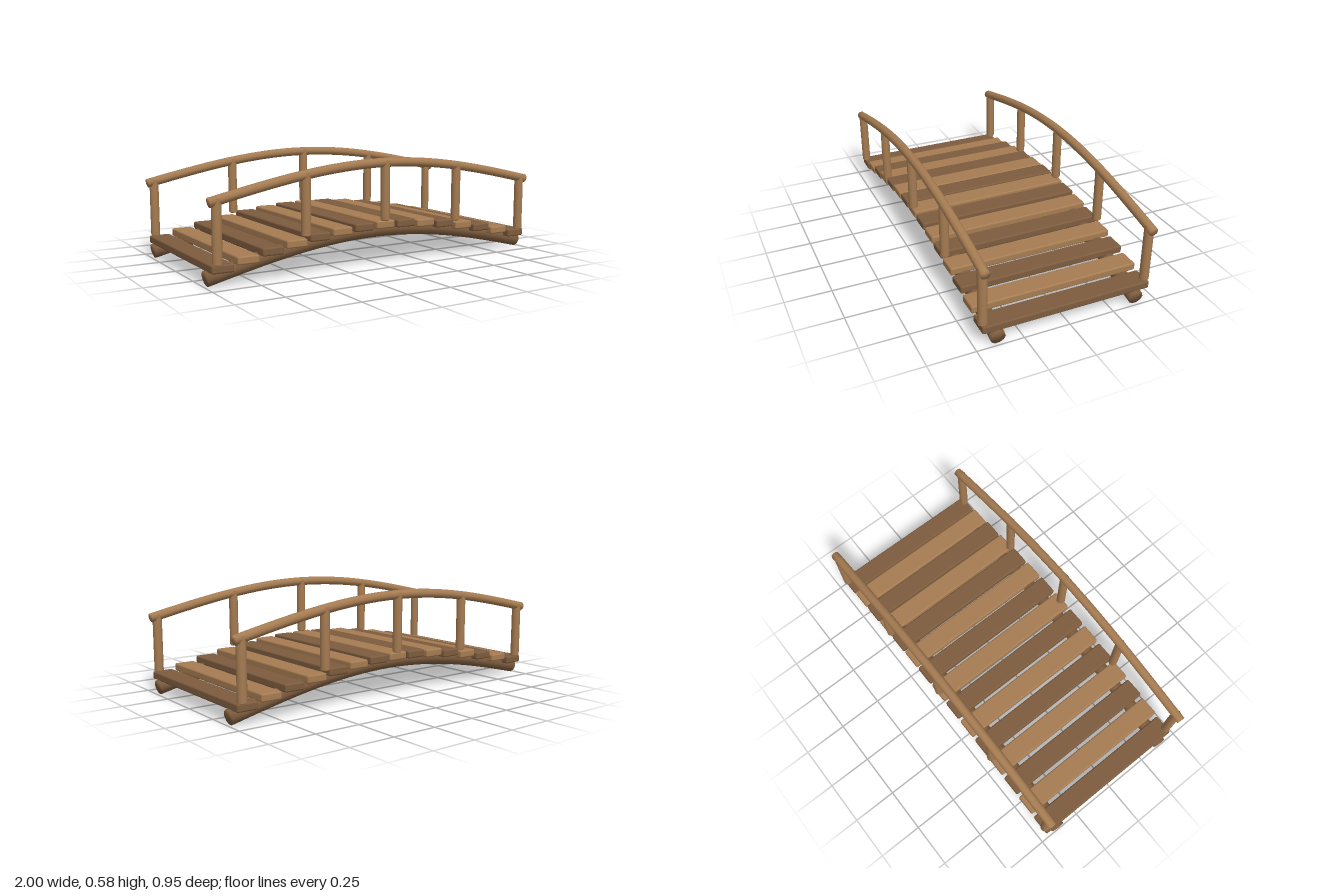
import * as THREE from 'three';
import { mergeVertices } from 'three/addons/utils/BufferGeometryUtils.js';
import { RoundedBoxGeometry } from 'three/addons/geometries/RoundedBoxGeometry.js';

const HALF = 0.99;
// height of a cosine arch at x
const arch = (x, base, rise, half = HALF) => base + rise * Math.cos((x / half) * Math.PI / 2);
const railY = (x) => arch(x, 0.412, 0.141);
const beamY = (x) => arch(x, 0.038, 0.151);

// round log bent along an arch, with closed ends
function archedLog(heightAt, radius, sides) {
  const points = [];
  for (let i = 0; i <= 16; i++) {
    const x = -HALF + (2 * HALF * i) / 16;
    points.push(new THREE.Vector3(x, heightAt(x), 0));
  }
  const curve = new THREE.CatmullRomCurve3(points);
  const segments = 32;
  const tube = new THREE.TubeGeometry(curve, segments, radius, sides, false);
  const pos = Array.from(tube.attributes.position.array);
  const index = Array.from(tube.index.array);
  const ring = sides + 1;
  for (const [row, flip] of [[0, false], [segments, true]]) {
    const centre = pos.length / 3;
    pos.push(...points[row === 0 ? 0 : points.length - 1].toArray());
    for (let j = 0; j < sides; j++) {
      const a = row * ring + j;
      index.push(centre, flip ? a + 1 : a, flip ? a : a + 1);
    }
  }
  // orient each cap away from the log
  const v = (i) => new THREE.Vector3(pos[3 * i], pos[3 * i + 1], pos[3 * i + 2]);
  for (let t = index.length - sides * 6; t < index.length; t += 3) {
    const [a, b, c] = [v(index[t]), v(index[t + 1]), v(index[t + 2])];
    const n = b.sub(a).cross(c.sub(a));
    if (n.x * a.x < 0) [index[t + 1], index[t + 2]] = [index[t + 2], index[t + 1]];
  }
  const geometry = new THREE.BufferGeometry();
  geometry.setAttribute('position', new THREE.Float32BufferAttribute(pos, 3));
  geometry.setIndex(index);
  const merged = mergeVertices(geometry, 1e-5);
  merged.computeVertexNormals();
  return merged;
}

// upright post with a small bevel at each end
function postGeometry(bottom, top, radius) {
  const bevel = 0.006;
  const profile = [
    [0, bottom], [radius - bevel, bottom], [radius, bottom + bevel],
    [radius, top - bevel], [radius - bevel, top], [0, top],
  ].map(([r, y]) => new THREE.Vector2(r, y));
  return new THREE.LatheGeometry(profile, 12);
}

export function createModel() {
  const bridge = new THREE.Group();
  bridge.name = 'footbridge';

  const lightWood = new THREE.MeshStandardMaterial({ color: 0xa67c52 });
  lightWood.name = 'light wood';
  const darkWood = new THREE.MeshStandardMaterial({ color: 0x7d5c3e });
  darkWood.name = 'dark wood';

  const add = (name, geometry, material, x, y, z) => {
    const mesh = new THREE.Mesh(geometry, material);
    mesh.name = name;
    mesh.position.set(x, y, z);
    bridge.add(mesh);
  };

  // deck planks, alternating shades
  const plank = new RoundedBoxGeometry(0.115, 0.042, 0.925, 2, 0.009);
  for (let i = 0; i < 15; i++) {
    const x = (i - 7) * 0.1325;
    add('plank', plank, i % 2 ? lightWood : darkWood, x, arch(x, 0.094, 0.13, 0.9275), 0);
  }

  // beams, handrails and posts on both sides
  const beam = archedLog(beamY, 0.04, 10);
  const rail = archedLog(railY, 0.025, 10);
  for (const side of [1, -1]) {
    add('beam', beam, darkWood, 0, 0, side * 0.385);
    add('handrail', rail, lightWood, 0, 0, side * 0.45);
    for (const x of [-0.952, -0.476, 0, 0.476, 0.952]) {
      const bottom = arch(x, 0.104, 0.141);
      add('post', postGeometry(bottom, railY(x) + 0.015, 0.025), lightWood, x, 0, side * 0.45);
    }
  }
  return bridge;
}
